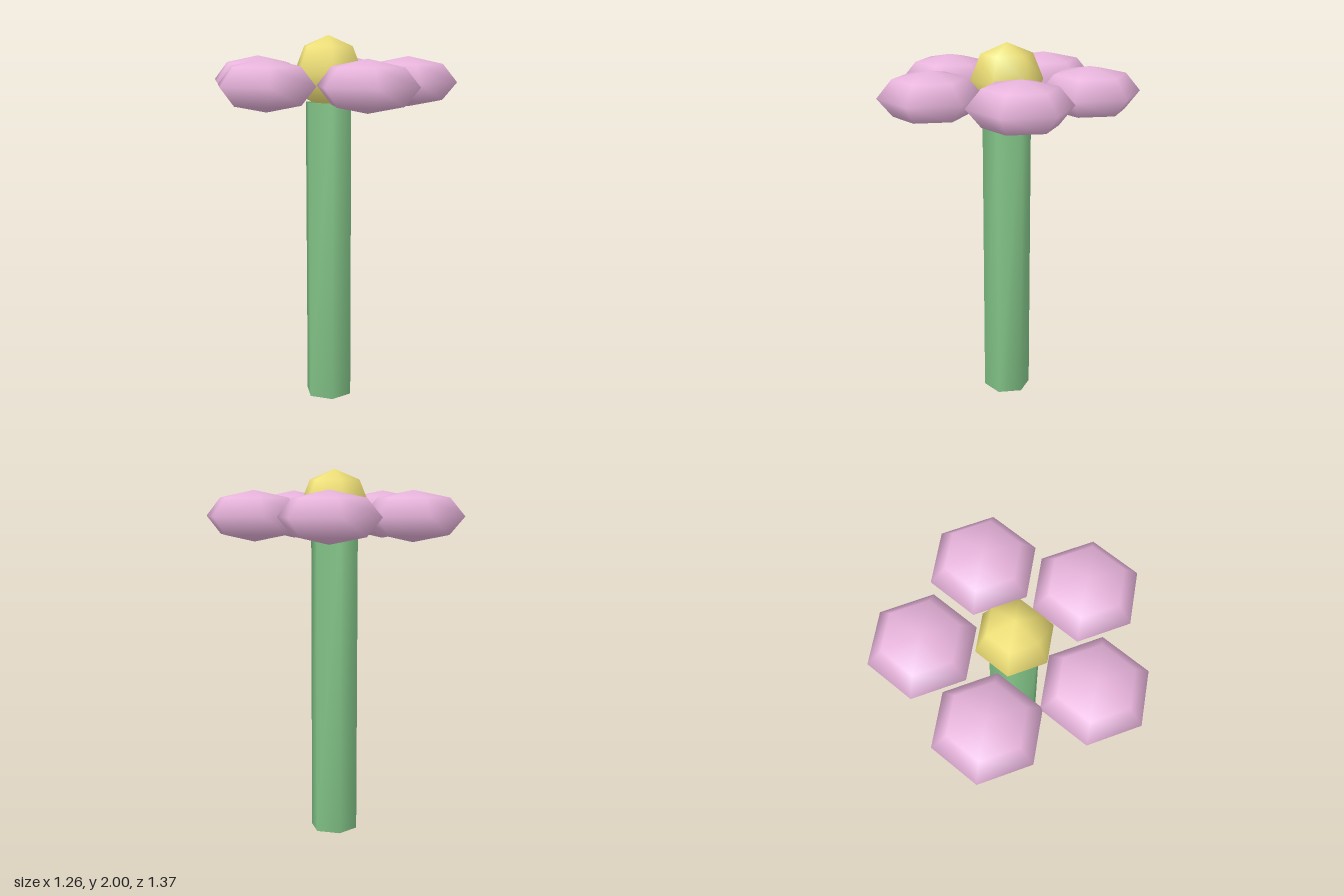
import * as THREE from 'three';
import { mergeVertices } from 'three/addons/utils/BufferGeometryUtils.js';

// Weld a geometry so that normals are smooth over every edge, caps included
function smooth(geometry) {
  geometry.deleteAttribute('uv');
  geometry.deleteAttribute('normal');
  const welded = mergeVertices(geometry, 1e-4);
  welded.computeVertexNormals();
  return welded;
}

// Six-sided ball with corners pointing along z
function ball(radius, height) {
  const geometry = new THREE.SphereGeometry(radius, 6, 4);
  geometry.rotateY(Math.PI / 2);
  geometry.scale(1, height / (2 * radius), 1);
  return smooth(geometry);
}

export function createModel() {
  const flower = new THREE.Group();
  flower.name = 'flower';

  const add = (name, geometry, color, x, y, z) => {
    const mesh = new THREE.Mesh(geometry, new THREE.MeshStandardMaterial({ color }));
    mesh.name = name;
    mesh.position.set(x, y, z);
    flower.add(mesh);
  };

  // Hexagonal stem
  const stemHeight = 1.645;
  add('stem', smooth(new THREE.CylinderGeometry(0.131, 0.131, stemHeight, 6)),
    0x82c387, -0.043, stemHeight / 2, 0);

  // Round flower centre
  add('flowerCentre', ball(0.196, 0.392), 0xf0e178, -0.043, 1.804, 0);

  // Ring of five flattened petals
  const petal = ball(0.272, 0.27);
  const spots = [[0.394, 0], [0.092, 0.415], [-0.398, 0.265], [-0.398, -0.265], [0.092, -0.415]];
  spots.forEach(([x, z], i) => add(`petal${i + 1}`, petal, 0xe8b4dc, x, 1.753, z));

  return flower;
}
